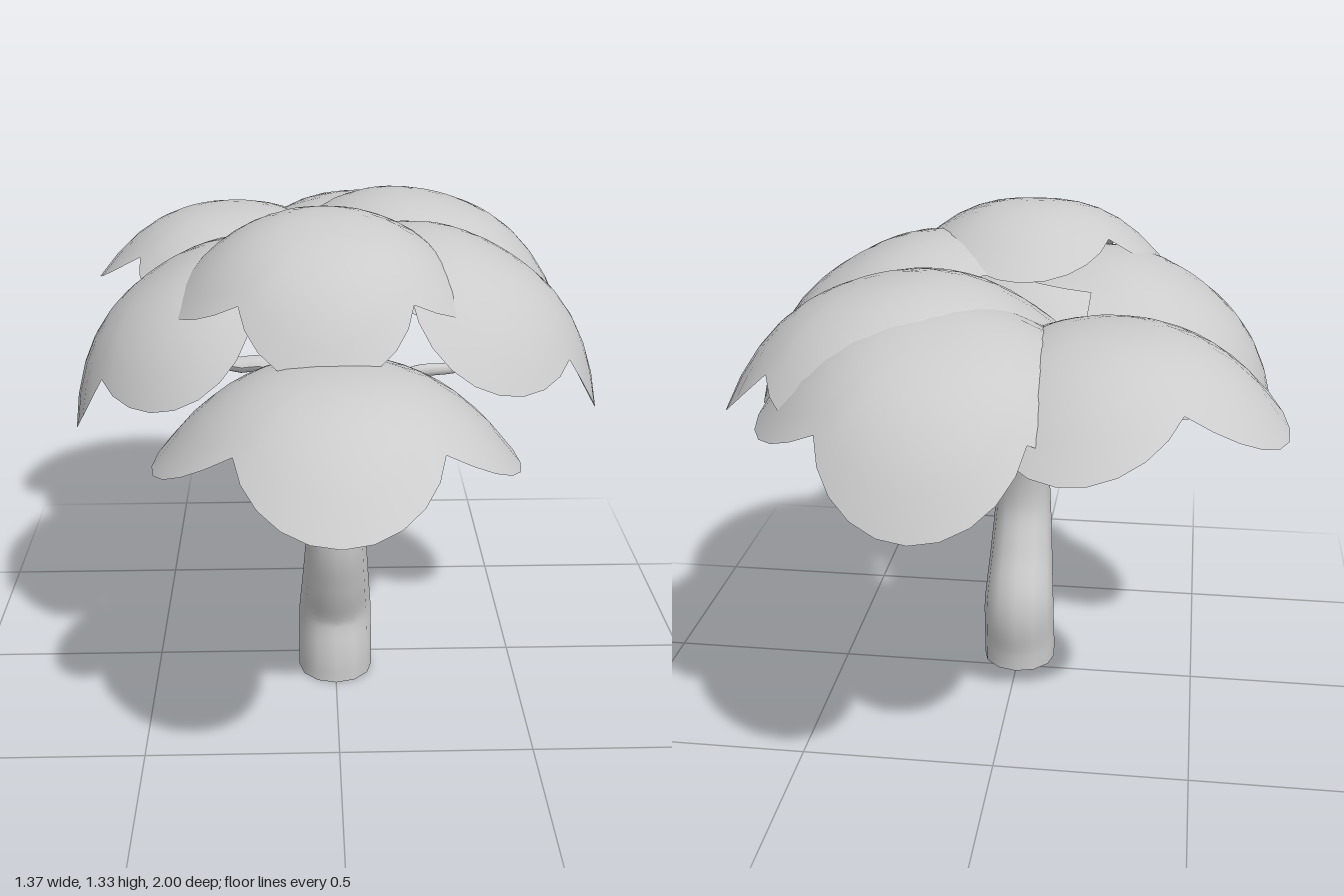
import * as THREE from 'three';

const leafMat = new THREE.MeshStandardMaterial({ color: 0xcccccc, side: THREE.DoubleSide });
const barkMat = new THREE.MeshStandardMaterial({ color: 0xcccccc, side: THREE.DoubleSide });

// Tapered tube along a smooth path; each point is [x, y, z, radius]
function limb(name, points, steps, sides) {
  const curve = new THREE.CatmullRomCurve3(points.map(p => new THREE.Vector3(p[0], p[1], p[2])));
  const geo = new THREE.TubeGeometry(curve, steps, 1, sides, false);
  const pos = geo.attributes.position;
  const centre = new THREE.Vector3(), v = new THREE.Vector3();
  for (let i = 0; i <= steps; i++) {
    const u = i / steps;
    curve.getPointAt(u, centre);
    const t = curve.getUtoTmapping(u) * (points.length - 1);
    const k = Math.min(Math.floor(t), points.length - 2);
    const r = THREE.MathUtils.lerp(points[k][3], points[k + 1][3], t - k);
    for (let j = 0; j <= sides; j++) {
      const n = i * (sides + 1) + j;
      v.fromBufferAttribute(pos, n).sub(centre).multiplyScalar(r).add(centre);
      // The foot is cut level with the ground
      pos.setXYZ(n, v.x, i === 0 ? points[0][1] : v.y, v.z);
    }
  }
  geo.computeVertexNormals();
  const mesh = new THREE.Mesh(geo, barkMat);
  mesh.name = name;
  return mesh;
}

// Outline radius of a crown made of four overlapping round lobes
function lobedRadius(angle) {
  const quarter = Math.PI / 2;
  const delta = angle - Math.round(angle / quarter) * quarter;
  return 0.195 * Math.cos(delta) + Math.sqrt(0.228 ** 2 - (0.195 * Math.sin(delta)) ** 2);
}

// Thin drooping shell with its top at the given point, leaning towards (leanX, leanZ)
function leafCrown({ name, at, turn = 0, lean = [0, 0], size = 1 }) {
  const rings = 7, segs = 40;
  const verts = [0, 0, 0], index = [];
  for (let i = 1; i <= rings; i++) {
    for (let j = 0; j < segs; j++) {
      const a = j / segs * Math.PI * 2;
      const r = lobedRadius(a) * i / rings;
      verts.push(r * Math.cos(a + turn), -0.23 * (r / 0.423) ** 2.6, r * Math.sin(a + turn));
    }
  }
  for (let j = 0; j < segs; j++) {
    const k = (j + 1) % segs;
    index.push(0, 1 + k, 1 + j);
    for (let i = 0; i < rings - 1; i++) {
      const a = 1 + i * segs + j, b = 1 + i * segs + k;
      index.push(a, b, b + segs, a, b + segs, a + segs);
    }
  }
  const geo = new THREE.BufferGeometry();
  geo.setAttribute('position', new THREE.Float32BufferAttribute(verts, 3));
  geo.setIndex(index);
  geo.computeVertexNormals();
  const mesh = new THREE.Mesh(geo, leafMat);
  const up = new THREE.Vector3(0, 1, 0);
  const tip = new THREE.Vector3(Math.tan(lean[0]), 1, Math.tan(lean[1])).normalize();
  mesh.quaternion.setFromUnitVectors(up, tip);
  mesh.position.set(...at);
  mesh.scale.setScalar(size);
  mesh.name = name;
  return mesh;
}

export function createModel() {
  const tree = new THREE.Group();
  tree.name = 'tree';

  // Bent trunk that runs on into the thick rear bough
  tree.add(limb('trunk', [
    [0, 0, 0.07, 0.102], [0, 0.06, 0.068, 0.102], [0, 0.18, 0.052, 0.1], [0, 0.31, 0.105, 0.09],
    [0, 0.45, 0.147, 0.08], [0, 0.6, 0.13, 0.073], [0, 0.71, 0.075, 0.066],
    [0, 0.765, -0.04, 0.055], [-0.01, 0.81, -0.2, 0.046], [-0.02, 0.84, -0.33, 0.042],
    [-0.03, 0.91, -0.41, 0.036], [-0.04, 1.01, -0.5, 0.028], [-0.05, 1.13, -0.63, 0.015],
  ], 60, 12));

  // Thin branches
  tree.add(limb('frontBranch', [
    [0, 0.74, 0.08, 0.04], [0, 0.775, 0.2, 0.036], [0, 0.785, 0.35, 0.032],
    [0, 0.82, 0.46, 0.028], [0, 0.92, 0.51, 0.02], [0, 1.03, 0.54, 0.01],
  ], 24, 8));
  tree.add(limb('leftBranch', [
    [0.02, 0.77, 0.07, 0.03], [0.09, 0.76, 0.055, 0.027], [0.14, 0.82, 0.05, 0.023],
    [0.21, 0.87, 0.04, 0.019], [0.34, 0.885, 0.03, 0.014], [0.43, 0.95, 0.03, 0.008],
  ], 24, 8));
  tree.add(limb('rightBranch', [
    [-0.02, 0.78, 0.05, 0.03], [-0.1, 0.845, 0.03, 0.027], [-0.19, 0.895, 0.03, 0.024],
    [-0.27, 0.9, 0.04, 0.022], [-0.31, 0.96, 0.04, 0.016], [-0.36, 1.07, 0.05, 0.008],
  ], 20, 8));

  // Canopy of overlapping crowns
  const crowns = [
    { name: 'topCrown', at: [-0.03, 1.315, 0.24], lean: [0, 0.21], size: 0.9 },
    { name: 'frontCrown', at: [-0.01, 1.075, 0.575] },
    { name: 'leftCrown', at: [0.43, 1.19, 0.03], lean: [0.51, 0], size: 1.01 },
    { name: 'rightCrown', at: [-0.45, 1.15, 0.04], lean: [-0.56, 0], size: 0.98 },
    { name: 'rearLeftCrown', at: [0.3, 1.24, -0.38], lean: [0.23, 0] },
    { name: 'rearCrown', at: [0.1, 1.2, -0.65], lean: [0, -0.26] },
    { name: 'rearRightCrown', at: [-0.28, 1.19, -0.5], turn: 0.22, size: 0.96 },
  ];
  crowns.forEach(c => tree.add(leafCrown(c)));
  return tree;
}
